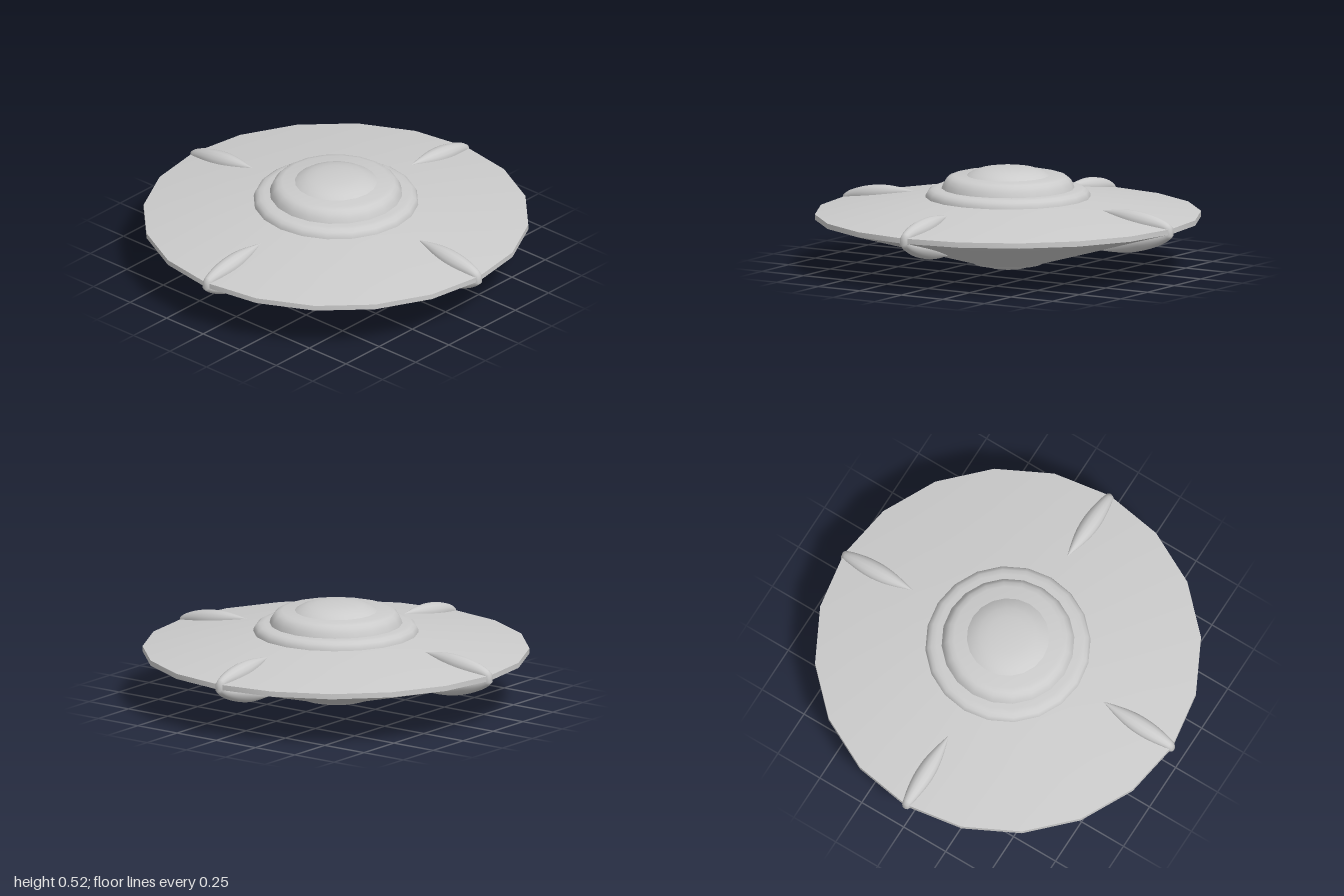
import * as THREE from 'three';
import { mergeVertices, toCreasedNormals } from 'three/addons/utils/BufferGeometryUtils.js';

const SIDES = 20;
const material = new THREE.MeshStandardMaterial({ color: 0xcccccc });

// Turned part: profile of [radius, height] pairs from bottom to top
function turned(name, profile) {
  const points = profile.map(([r, y]) => new THREE.Vector2(r, y));
  const geometry = toCreasedNormals(new THREE.LatheGeometry(points, SIDES), 0.75);
  const mesh = new THREE.Mesh(geometry, material);
  mesh.name = name;
  return mesh;
}

// Spindle pod that wraps round the rim: a tube whose radius swells above and below the hull
function podGeometry() {
  const path = new THREE.CatmullRomCurve3([
    [0.57, 0.347], [0.77, 0.317], [0.95, 0.29], [0.977, 0.272],
    [0.95, 0.25], [0.77, 0.2], [0.57, 0.143],
  ].map(([x, y]) => new THREE.Vector3(x, y, 0)));
  const rings = 56, around = 14;
  const geometry = new THREE.TubeGeometry(path, rings, 1, around);
  const position = geometry.attributes.position;
  const v = new THREE.Vector3();
  for (let i = 0; i <= rings; i++) {
    const centre = path.getPointAt(i / rings);
    const t = THREE.MathUtils.clamp((centre.x - 0.57) / 0.407, 0, 1);
    const radius = 0.001 + 0.021 * t + 0.035 * Math.sin(Math.PI * t);
    for (let j = 0; j <= around; j++) {
      const k = i * (around + 1) + j;
      v.fromBufferAttribute(position, k).sub(centre).multiplyScalar(radius).add(centre);
      position.setXYZ(k, v.x, v.y, v.z);
    }
  }
  // Weld the seam so the pod shades smoothly
  geometry.deleteAttribute('uv');
  geometry.deleteAttribute('normal');
  const welded = mergeVertices(geometry, 1e-5);
  welded.computeVertexNormals();
  return welded;
}

export function createModel() {
  const group = new THREE.Group();
  group.name = 'flyingSaucer';

  // Saucer hull with a thin upright rim
  group.add(turned('hull', [
    [0, 0.035], [0.18, 0.035], [0.98, 0.26], [0.98, 0.287], [0.42, 0.37], [0, 0.37],
  ]));

  // Stepped cabin and its dome
  group.add(turned('lowerTier', [
    [0.42, 0.365], [0.418, 0.382], [0.408, 0.4], [0.39, 0.411], [0.365, 0.415], [0, 0.415],
  ]));
  group.add(turned('upperTier', [
    [0.338, 0.412], [0.33, 0.438], [0.317, 0.459], [0.3, 0.473], [0.275, 0.48], [0, 0.48],
  ]));
  group.add(turned('dome', [
    [0.212, 0.478], [0.185, 0.496], [0.145, 0.511], [0.1, 0.519], [0.05, 0.523], [0, 0.524],
  ]));

  // Plate and shallow bulge under the hull
  group.add(turned('bellyPlate', [
    [0, 0.024], [0.155, 0.024], [0.175, 0.028], [0.187, 0.038], [0.185, 0.045],
  ]));
  group.add(turned('bellyBulge', [
    [0, 0], [0.05, 0.002], [0.09, 0.008], [0.115, 0.016], [0.132, 0.027],
  ]));

  // Four pods around the rim
  const pod = podGeometry();
  for (let i = 0; i < 4; i++) {
    const mesh = new THREE.Mesh(pod, material);
    mesh.name = ['leftPod', 'backPod', 'rightPod', 'frontPod'][i];
    mesh.rotation.y = i * Math.PI / 2;
    group.add(mesh);
  }
  return group;
}
